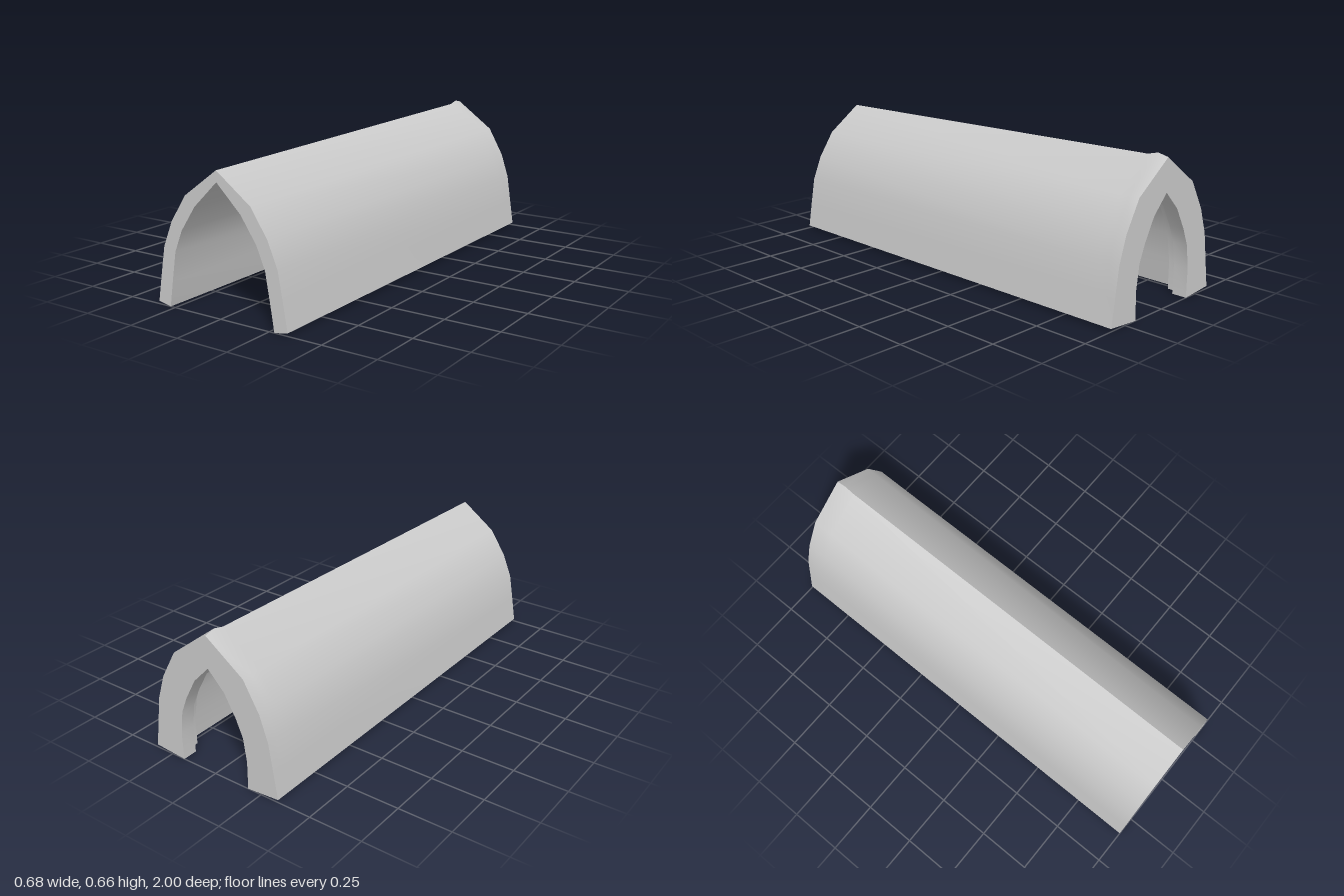
import * as THREE from 'three';
import { toCreasedNormals } from 'three/addons/utils/BufferGeometryUtils.js';

// Half profiles [x, y] from the foot up to the ridge
const outerFront = [[0.34, 0.012], [0.32, 0.13], [0.297, 0.258], [0.25, 0.37], [0.17, 0.49], [0, 0.613]];
const outerBack = [[0.34, 0.012], [0.321, 0.135], [0.301, 0.265], [0.262, 0.382], [0.186, 0.516], [0, 0.65]];
const innerFront = [[0.275, 0], [0.257, 0.115], [0.235, 0.245], [0.195, 0.34], [0.12, 0.45], [0, 0.565]];
const innerBack = [[0.266, 0], [0.256, 0.12], [0.238, 0.25], [0.205, 0.355], [0.135, 0.475], [0, 0.605]];
const stepProfile = [[0.22, 0], [0.22, 0.13], [0.2, 0.242], [0.165, 0.338], [0.1, 0.452], [0, 0.55]];
const lipProfile = [[0.181, 0], [0.183, 0.13], [0.168, 0.24], [0.135, 0.32], [0.08, 0.42], [0, 0.502]];

// Mirrors a half profile into a full arch at depth z
function arch(half, z) {
  const left = half.map(([x, y]) => [x, y, z]);
  const right = half.slice(0, -1).reverse().map(([x, y]) => [-x, y, z]);
  return [...left, ...right];
}

// Outer profile part-way along the vault, with an optional lift of the ridge
function outerAt(z, lift = 0) {
  const t = (1 - z) / 2;
  const half = outerFront.map(([x, y], i) => [
    x + (outerBack[i][0] - x) * t,
    y + (outerBack[i][1] - y) * t + (i === 5 ? lift : 0),
  ]);
  return arch(half, z);
}

// Lofts a closed chain of arches and fills the two feet
function loftArches(rings) {
  const n = rings[0].length;
  const positions = rings.flat(2);
  const index = [];
  rings.forEach((_, r) => {
    const a = r * n, b = ((r + 1) % rings.length) * n;
    for (let i = 0; i < n - 1; i++) {
      index.push(a + i, b + i, a + i + 1, a + i + 1, b + i, b + i + 1);
    }
  });
  for (const i of [0, n - 1]) {
    const outline = rings.map((ring) => new THREE.Vector2(ring[i][0], ring[i][2]));
    for (const [p, q, s] of THREE.ShapeUtils.triangulateShape(outline, [])) {
      const up = THREE.ShapeUtils.area([outline[p], outline[q], outline[s]]) < 0;
      const tri = up ? [p, s, q] : [p, q, s];
      index.push(...tri.map((r) => r * n + i));
    }
  }
  const geometry = new THREE.BufferGeometry();
  geometry.setAttribute('position', new THREE.Float32BufferAttribute(positions, 3));
  geometry.setIndex(index);
  return toCreasedNormals(geometry, 0.55);
}

export function createModel() {
  const group = new THREE.Group();
  group.name = 'vault';

  // Outside front to back, then back inside over the lip and step
  const rings = [
    outerAt(1),
    outerAt(-0.9),
    outerAt(-0.95, 0.012),
    outerAt(-1),
    arch(lipProfile, -1),
    arch(lipProfile, -0.93),
    arch(stepProfile, -0.93),
    arch(stepProfile, -0.88),
    arch(innerBack, -0.88),
    arch(innerFront, 1),
  ];
  const shell = new THREE.Mesh(
    loftArches(rings),
    new THREE.MeshStandardMaterial({ color: 0xcccccc }),
  );
  shell.name = 'archedShell';
  group.add(shell);
  return group;
}
